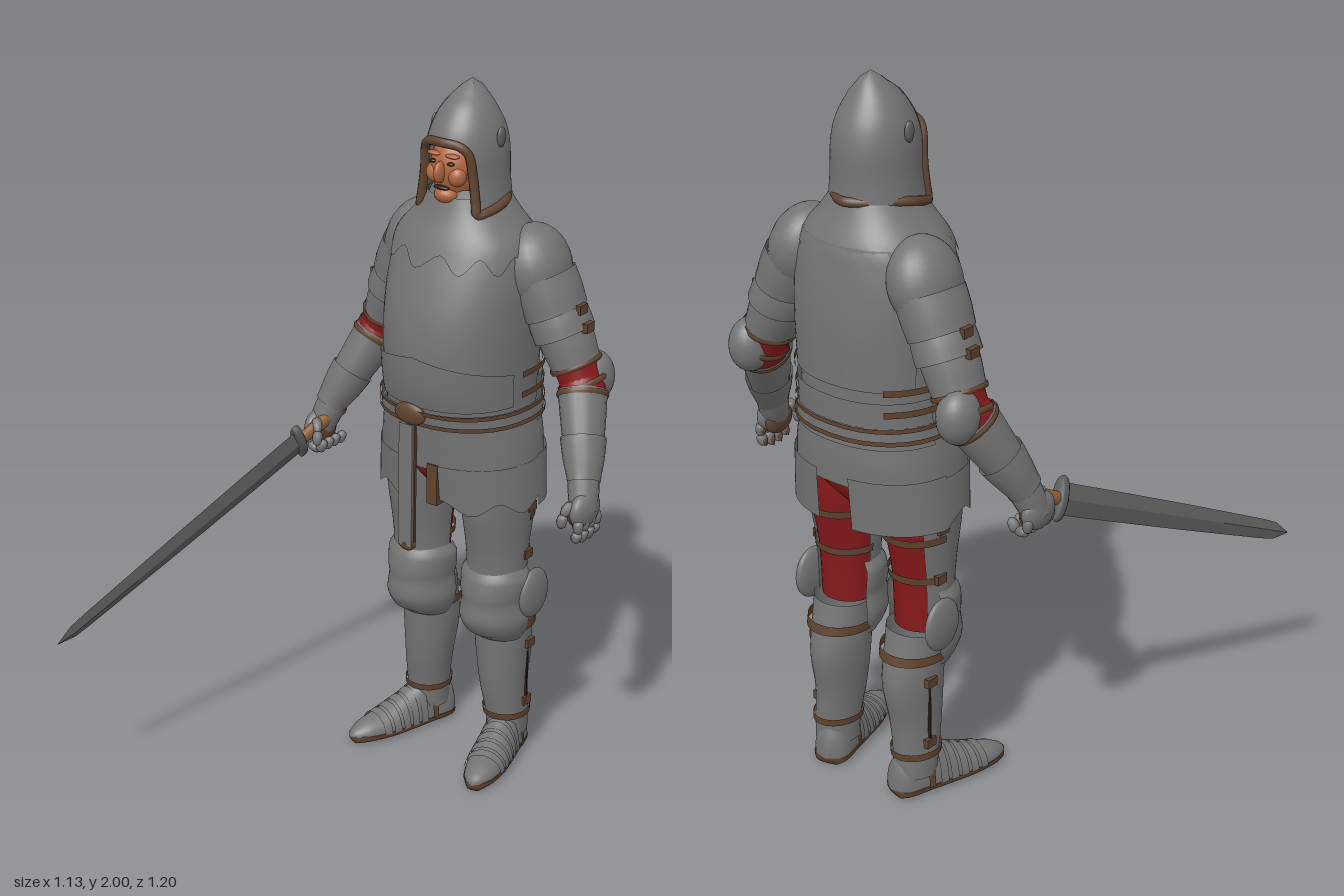
import * as THREE from 'three';
import { mergeVertices } from 'three/addons/utils/BufferGeometryUtils.js';

const mat = (name, color, side = THREE.DoubleSide) => {
  const m = new THREE.MeshStandardMaterial({ color, side });
  m.name = name;
  return m;
};
const steel = mat('steel', 0x747474), darkSteel = mat('dark steel', 0x5e5e5e);
const leather = mat('leather', 0x5f432f), wood = mat('wood', 0x8c5f36);
const cloth = mat('red cloth', 0x86191b), skin = mat('skin', 0xb0663f), dark = mat('dark hair', 0x2e1d16);
const V = (x, y, z) => new THREE.Vector3(x, y, z);
const PI = Math.PI;

// Smooth cross-section at height y from rows [y, halfWidth, front, back, cx, cz], highest row first
function section(rows, y) {
  let i = 0;
  while (i < rows.length - 2 && y < rows[i + 1][0]) i++;
  const at = (k) => rows[Math.min(Math.max(k, 0), rows.length - 1)];
  const [p, q, r, s] = [at(i - 1), at(i), at(i + 1), at(i + 2)];
  const t = THREE.MathUtils.clamp((q[0] - y) / (q[0] - r[0]), 0, 1);
  return [1, 2, 3, 4, 5].map((k) => {
    const [a, b, c, d] = [p, q, r, s].map((w) => w[k] ?? 0);
    return b + 0.5 * t * (c - a + t * (2 * a - 5 * b + 4 * c - d + t * (3 * (b - c) + d - a)));
  });
}
function point(rows, a, y, grow = 0, p = 1) {
  const [rx, f, b, cx, cz] = section(rows, y), s = Math.sin(a), c = Math.cos(a);
  const pw = (v) => Math.sign(v) * Math.abs(v) ** p;
  return V(cx + (rx + grow) * pw(s), y, cz + ((c > 0 ? f : b) + grow) * pw(c));
}

// Curved sheet around the rows; angle 0 faces +z, and top and bottom may vary with the angle
function shell(name, rows, m, o = {}) {
  const { a0 = -PI, a1 = PI, n = 32, k = 12, grow = 0, p = 1, flat = false } = o;
  const top = o.top ?? rows[0][0], bot = o.bot ?? rows[rows.length - 1][0];
  const val = (f, a) => (typeof f === 'function' ? f(a) : f);
  const pos = [], idx = [];
  for (let j = 0; j <= k; j++) for (let i = 0; i <= n; i++) {
    const a = a0 + ((a1 - a0) * i) / n;
    pos.push(...point(rows, a, THREE.MathUtils.lerp(val(top, a), val(bot, a), j / k), grow, p).toArray());
    if (i < n && j < k) {
      const q = j * (n + 1) + i, d = q + n + 1;
      idx.push(q, d, q + 1, d, d + 1, q + 1);
    }
  }
  let g = new THREE.BufferGeometry();
  g.setAttribute('position', new THREE.Float32BufferAttribute(pos, 3));
  g.setIndex(idx);
  g = flat ? g.toNonIndexed() : mergeVertices(g);
  g.computeVertexNormals();
  return mesh(name, g, m);
}
function mesh(name, g, m) {
  const o = new THREE.Mesh(g, m);
  o.name = name;
  return o;
}
// Shell along a line from a to b; rows are [fraction, halfWidth, front, back]
function limb(name, a, b, rows, m, o = {}) {
  const d = b.clone().sub(a), len = d.length();
  const s = shell(name, rows.map(([t, ...r]) => [-t * len, ...r]), m, { n: 20, k: 8, ...o });
  s.position.copy(a);
  s.quaternion.setFromUnitVectors(V(0, -1, 0), d.normalize());
  return s;
}
const ball = (name, c, r, m) => {
  const s = mesh(name, new THREE.SphereGeometry(1, 24, 16).scale(...r), m);
  s.position.set(...c);
  return s;
};
const box = (name, c, size, m) => {
  const s = mesh(name, new THREE.BoxGeometry(...size), m);
  s.position.set(...c);
  return s;
};
// Copy of a side's parts reflected across the middle plane
function mirrored(group, name) {
  const out = new THREE.Group();
  out.name = name;
  group.updateMatrixWorld(true);
  group.traverse((o) => {
    if (!o.isMesh) return;
    const g = o.geometry.clone().applyMatrix4(o.matrixWorld).scale(-1, 1, 1), ix = g.index.array;
    for (let i = 0; i < ix.length; i += 3) [ix[i], ix[i + 1]] = [ix[i + 1], ix[i]];
    out.add(mesh(o.name, g, o.material));
  });
  return out;
}

function makeTorso() {
  const g = new THREE.Group(), p = 0.9, z = -0.4;
  g.name = 'torso';
  const body = [[1.72, 0.085, 0.1, 0.1, 0, z], [1.65, 0.13, 0.12, 0.125, 0, z], [1.58, 0.19, 0.155, 0.16, 0, z],
    [1.48, 0.21, 0.195, 0.175, 0, z], [1.38, 0.212, 0.225, 0.185, 0, z], [1.28, 0.21, 0.235, 0.185, 0, z],
    [1.18, 0.207, 0.228, 0.183, 0, z], [1.1, 0.208, 0.208, 0.18, 0, z], [1, 0.224, 0.196, 0.185, 0, z], [0.8, 0.238, 0.175, 0.175, 0, z]];
  const add = (name, m, o) => g.add(shell(name, body, m, { p, k: 6, ...o }));
  add('cuirass', steel, { bot: 1.03, n: 48, k: 24 });
  add('shoulderMail', steel, { top: 1.7, bot: (a) => 1.535 + 0.022 * Math.sin(a * 11), grow: 0.007, n: 88, k: 8 });
  add('waistPlate', steel, { a0: -1.35, a1: 1.35, top: (a) => 1.28 - 0.04 * Math.abs(a), bot: 1.13, grow: 0.007 });
  add('backPlate', steel, { a0: 2, a1: 2 * PI - 2, top: 1.59, bot: 1.22, grow: 0.008 });
  add('backLowerPlate', steel, { a0: 1.75, a1: 2 * PI - 1.75, top: 1.19, bot: 1.06, grow: 0.01 });
  // Belt, side straps and skirt plates
  add('belt', steel, { top: 1.122, bot: 1.08, grow: 0.014, k: 2 });
  for (const y of [1.122, 1.088]) add('beltEdge', leather, { top: y, bot: y - 0.012, grow: 0.019, k: 1 });
  for (const s of [-1, 1]) for (const y of [1.23, 1.17])
    add('sideStrap', leather, { a0: s * 1.95 - 0.5, a1: s * 1.95 + 0.5, top: y, bot: y - 0.018, grow: 0.015, k: 1 });
  add('upperSkirt', steel, { top: 1.09, bot: 0.94, grow: 0.006, n: 48 });
  for (const s of [-1, 1]) {
    add('frontTasset', steel, { a0: s * 1 - 0.8, a1: s * 1 + 0.75, top: 0.96, bot: (a) => 0.835 + 0.018 * Math.sin(a * 8), grow: 0.01 });
    add('backTasset', steel, { a0: s * 2.3 - 0.65, a1: s * 2.3 + 0.65, top: 0.97, bot: 0.82, grow: 0.012 });
  }
  g.add(shell('breeches', [[1.02, 0.19, 0.14, 0.14, 0, z], [0.9, 0.2, 0.13, 0.14, 0, z], [0.82, 0.1, 0.07, 0.08, 0, z], [0.8, 0, 0, 0, 0, z]], cloth));
  g.add(ball('buckle', [-0.02, 1.105, -0.178], [0.052, 0.032, 0.016], leather));
  g.add(box('beltStrap', [-0.035, 0.885, -0.182], [0.046, 0.37, 0.009], steel));
  g.add(box('strapBacking', [-0.035, 0.88, -0.19], [0.054, 0.37, 0.008], leather));
  g.add(ball('strapTip', [-0.035, 0.705, -0.186], [0.028, 0.022, 0.009], leather));
  g.add(box('pouch', [0.04, 0.9, -0.215], [0.035, 0.12, 0.03], leather));
  return g;
}

function makeHead() {
  const g = new THREE.Group(), z = -0.4;
  g.name = 'head';
  const dome = [[2, 0, 0, 0, 0, -0.41], [1.985, 0.025, 0.025, 0.028, 0, -0.41], [1.94, 0.065, 0.072, 0.068, 0, z], [1.88, 0.096, 0.112, 0.1, 0, z],
    [1.82, 0.108, 0.128, 0.115, 0, z], [1.74, 0.112, 0.125, 0.117, 0, z], [1.65, 0.122, 0.137, 0.122, 0, z]];
  // Helmet edge height by angle from the front, leaving the face open
  const edge = [[0, 1.852], [0.5, 1.845], [0.7, 1.825], [0.79, 1.76], [0.84, 1.7], [0.88, 1.66], [1.1, 1.665], [1.6, 1.685], [PI, 1.69]];
  const edgeY = (a) => {
    const t = Math.abs(a), i = Math.max(1, edge.findIndex((e) => e[0] >= t - 1e-9));
    const [u, v] = [edge[i - 1], edge[i]];
    return THREE.MathUtils.mapLinear(t, u[0], v[0], u[1], v[1]);
  };
  g.add(shell('helmet', dome, steel, { bot: edgeY, n: 128, k: 16 }));
  const rim = [];
  for (const s of [1, -1]) {
    const side = edge.slice(s > 0 ? 0 : 1, s > 0 ? undefined : -1).map(([a, y]) => point(dome, a * s, y, 0.002));
    rim.push(...(s > 0 ? side : side.reverse()));
  }
  g.add(mesh('helmetRim', new THREE.TubeGeometry(new THREE.CatmullRomCurve3(rim, true, 'centripetal'), 120, 0.013, 8, true), leather));
  for (const s of [-1, 1]) g.add(ball('helmetHinge', [s * 0.109, 1.86, -0.395], [0.009, 0.028, 0.016], darkSteel));
  // Mail hood and face
  g.add(shell('mailHood', [[1.84, 0.08, 0.05, 0.08, 0, z], [1.76, 0.095, 0.055, 0.1, 0, z], [1.7, 0.095, 0.095, 0.105, 0, z], [1.62, 0.135, 0.13, 0.13, 0, z]], steel));
  g.add(ball('face', [0, 1.775, -0.36], [0.074, 0.098, 0.088], skin));
  g.add(ball('chin', [0, 1.705, -0.305], [0.035, 0.025, 0.035], skin));
  g.add(ball('nose', [0, 1.772, -0.272], [0.013, 0.03, 0.024], skin));
  g.add(ball('mouth', [0, 1.728, -0.279], [0.026, 0.006, 0.01], dark));
  for (const s of [-1, 1]) {
    g.add(ball('cheek', [s * 0.036, 1.76, -0.3], [0.026, 0.028, 0.025], skin));
    g.add(ball('eye', [s * 0.029, 1.797, -0.28], [0.011, 0.005, 0.008], dark));
    g.add(ball('brow', [s * 0.03, 1.817, -0.286], [0.022, 0.006, 0.012], skin));
  }
  return g;
}

function makeArm(grip) {
  const g = new THREE.Group();
  g.name = 'leftArm';
  const S = V(0.2, 1.52, -0.45), E = V(0.345, 1.2, -0.47), W = V(0.432, 0.99, -0.36), K = V(0.458, 0.9, -0.325);
  const ring = (a, b, t0, t1, r0, r1, m, name) => g.add(limb(name, a, b, [[t0, r0, r0 * 1.15, r0 * 1.15], [(t0 + t1) / 2, (r0 + r1) / 2 + 0.003, (r0 + r1) * 0.58, (r0 + r1) * 0.58], [t1, r1, r1 * 1.15, r1 * 1.15]], m));
  ring(S, E, 0, 1.02, 0.065, 0.058, cloth, 'sleeve');
  const cap = ball('pauldron', [0.2, 1.505, -0.45], [0.088, 0.12, 0.107], steel);
  cap.rotation.z = 0.3;
  g.add(cap);
  ring(S, E, 0.12, 0.42, 0.087, 0.083, steel, 'shoulderLame');
  ring(S, E, 0.36, 0.6, 0.077, 0.082, steel, 'upperArmPlate');
  ring(S, E, 0.55, 0.84, 0.072, 0.066, steel, 'upperArmTube');
  ring(S, E, 0.83, 0.87, 0.069, 0.069, leather, 'armStrap');
  ring(S, E, 0.98, 1.03, 0.066, 0.066, leather, 'armStrap');
  for (const t of [0.45, 0.6]) {
    const c = S.clone().lerp(E, t);
    g.add(box('armHinge', [c.x + 0.073, c.y + 0.035, c.z], [0.02, 0.026, 0.035], leather));
  }
  g.add(ball('elbowCup', [0.355, 1.205, -0.51], [0.055, 0.075, 0.062], steel));
  ring(E, W, -0.05, 0.15, 0.057, 0.06, cloth, 'elbowSleeve');
  ring(E, W, 0.1, 0.95, 0.064, 0.046, steel, 'forearmPlate');
  ring(E, W, 0.12, 0.18, 0.067, 0.066, leather, 'forearmStrap');
  ring(E, W, 0.62, 1.1, 0.06, 0.043, steel, 'gauntletCuff');
  // Hand with back plate, leather palm and fingers
  ring(W, K, 0, 1.05, 0.041, 0.036, steel, 'gauntletWrist');
  g.add(ball('handBack', [0.462, 0.905, -0.325], [0.03, 0.052, 0.06], steel));
  g.add(ball('palm', [0.446, 0.895, -0.325], [0.024, 0.045, 0.05], leather));
  const joint = (a, b) => {
    g.add(limb('finger', a, b, [[-0.15, 0, 0, 0], [0.1, 0.014, 0.014, 0.014], [0.9, 0.012, 0.012, 0.012], [1.15, 0, 0, 0]], steel, { n: 10, k: 6 }));
    if (!grip) g.add(limb('fingerPad', a.clone().add(V(-0.009, 0, 0)), b.clone().add(V(-0.009, 0, 0)), [[-0.1, 0, 0, 0], [0.5, 0.009, 0.01, 0.01], [1.1, 0, 0, 0]], leather, { n: 8, k: 4 }));
  };
  for (let i = 0; i < 4; i++) {
    const z = -0.37 + i * 0.029, drop = i === 0 || i === 3 ? 0.008 : 0;
    const path = grip ? [V(0.467, 0.9, z), V(0.462, 0.86, z), V(0.425, 0.85, z + 0.004), V(0.408, 0.88, z)]
      : [V(0.47, 0.885, z), V(0.472, 0.85, z), V(0.462, 0.815 + drop, z + 0.002)];
    for (let j = 0; j + 1 < path.length; j++) joint(path[j], path[j + 1]);
  }
  const thumb = grip ? [V(0.44, 0.94, -0.285), V(0.415, 0.915, -0.26), V(0.41, 0.88, -0.25)] : [V(0.445, 0.93, -0.285), V(0.435, 0.9, -0.262), V(0.432, 0.865, -0.258)];
  joint(thumb[0], thumb[1]);
  joint(thumb[1], thumb[2]);
  return g;
}

function makeLeg() {
  const g = new THREE.Group(), x = 0.13;
  g.name = 'leftLeg';
  const thigh = [[0.96, 0.1, 0.12, 0.115, x, -0.395], [0.8, 0.09, 0.112, 0.11, x, -0.395], [0.66, 0.08, 0.085, 0.082, x, -0.395], [0.5, 0.077, 0.08, 0.075, x, -0.395]];
  const shin = [[0.5, 0.08, 0.08, 0.07, x, -0.43], [0.42, 0.079, 0.083, 0.09, x, -0.43], [0.34, 0.076, 0.078, 0.105, x, -0.43], [0.22, 0.066, 0.068, 0.086, x + 0.005, -0.43], [0.12, 0.06, 0.06, 0.074, x + 0.012, -0.44], [0.06, 0.058, 0.06, 0.07, x + 0.012, -0.445]];
  const knee = [[0.62, 0.088, 0.09, 0.06, x, -0.4], [0.595, 0.103, 0.105, 0.07, x, -0.4], [0.54, 0.1, 0.115, 0.075, x, -0.4], [0.52, 0.096, 0.113, 0.07, x, -0.4], [0.46, 0.102, 0.117, 0.075, x, -0.4], [0.42, 0.092, 0.095, 0.07, x, -0.4], [0.395, 0.08, 0.06, 0.07, x, -0.4]];
  g.add(shell('legCloth', thigh, cloth));
  g.add(shell('thighPlate', thigh, steel, { a0: -1.7, a1: 2.3, grow: 0.007 }));
  g.add(shell('kneePlate', knee, steel, { a0: -2, a1: 2, k: 20 }));
  g.add(ball('kneeWing', [x + 0.1, 0.535, -0.435], [0.022, 0.075, 0.065], steel));
  g.add(shell('greave', shin, steel));
  // Straps, seams and hinges
  const strap = (rows, y, h, grow, a0 = -PI, a1 = PI) => g.add(shell('legStrap', rows, leather, { top: y, bot: y - h, grow, a0, a1, k: 1 }));
  for (const y of [0.79, 0.67]) strap(thigh, y, 0.022, 0.01, 1.7, 2 * PI - 1.6);
  strap(shin, 0.445, 0.026, 0.012, 0.9, 2 * PI - 0.9);
  strap(shin, 0.142, 0.02, 0.006);
  for (const y of [0.81, 0.66]) g.add(box('thighHinge', [x + 0.093 - (0.81 - y) * 0.06, y, -0.42], [0.016, 0.026, 0.035], leather));
  for (const y of [0.36, 0.17]) g.add(box('greaveHinge', [x + 0.077 - (0.36 - y) * 0.035, y, -0.455], [0.016, 0.026, 0.035], leather));
  g.add(box('greaveSeam', [x + 0.07, 0.265, -0.455], [0.009, 0.2, 0.006], dark));
  // Pointed shoe turned outward, with overlapping bands
  const foot = new THREE.Group();
  foot.name = 'foot';
  foot.position.set(x + 0.012, 0.022, -0.445);
  foot.rotation.set(PI / 2, 0.28, 0, 'YXZ');
  const shoe = [[0.292, 0, 0, 0], [0.283, 0.018, 0.012, 0.014], [0.24, 0.042, 0.014, 0.035], [0.17, 0.055, 0.014, 0.052], [0.09, 0.055, 0.014, 0.085], [0.02, 0.052, 0.014, 0.12], [-0.05, 0.05, 0.014, 0.1], [-0.08, 0.03, 0.014, 0.07], [-0.086, 0, 0, 0]];
  foot.add(shell('shoe', shoe, steel, { k: 24 }));
  for (let i = 0; i < 5; i++) foot.add(shell('shoeBand', shoe, steel, { top: 0.2 - i * 0.033, bot: 0.176 - i * 0.033, grow: 0.005, a0: PI / 2, a1: 1.5 * PI, k: 2 }));
  foot.add(shell('sole', shoe.map(([y, w]) => [y, w * 1.04, w ? 0.022 : 0, w ? 0.003 : 0]), leather, { k: 24, p: 0.6 }));
  foot.add(shell('shoeStrap', shoe, leather, { top: 0.025, bot: 0.005, grow: 0.007, a0: PI / 2, a1: 1.5 * PI, k: 1 }));
  g.add(foot);
  return g;
}

function makeSword() {
  const g = new THREE.Group();
  g.name = 'sword';
  const tip = V(-0.565, 0.512, 0.605), hilt = V(-0.383, 0.89, -0.215), pommel = V(-0.352, 0.955, -0.365);
  g.add(limb('blade', hilt, tip, [[0, 0.013, 0.043, 0.043], [0.5, 0.011, 0.036, 0.036], [0.9, 0.009, 0.027, 0.027], [0.96, 0.007, 0.02, 0.02], [1, 0, 0, 0]], darkSteel, { n: 4, k: 16, flat: true }));
  g.add(limb('guard', hilt, tip, [[-0.02, 0, 0, 0], [-0.018, 0.02, 0.055, 0.055], [0.01, 0.02, 0.055, 0.055], [0.012, 0, 0, 0]], darkSteel));
  g.add(limb('grip', pommel, hilt, [[0, 0.015, 0.018, 0.018], [0.5, 0.018, 0.022, 0.022], [1, 0.015, 0.018, 0.018]], wood));
  g.add(ball('pommel', pommel.toArray(), [0.022, 0.024, 0.022], leather));
  return g;
}

export function createModel() {
  const model = new THREE.Group(), knight = new THREE.Group();
  model.name = 'armouredSwordsman';
  knight.name = 'knight';
  const leg = makeLeg();
  knight.add(makeTorso(), makeHead(), makeArm(false), mirrored(makeArm(true), 'rightArm'), leg, mirrored(leg, 'rightLeg'));
  knight.position.x = 0.068;
  model.add(knight, makeSword());
  return model;
}
